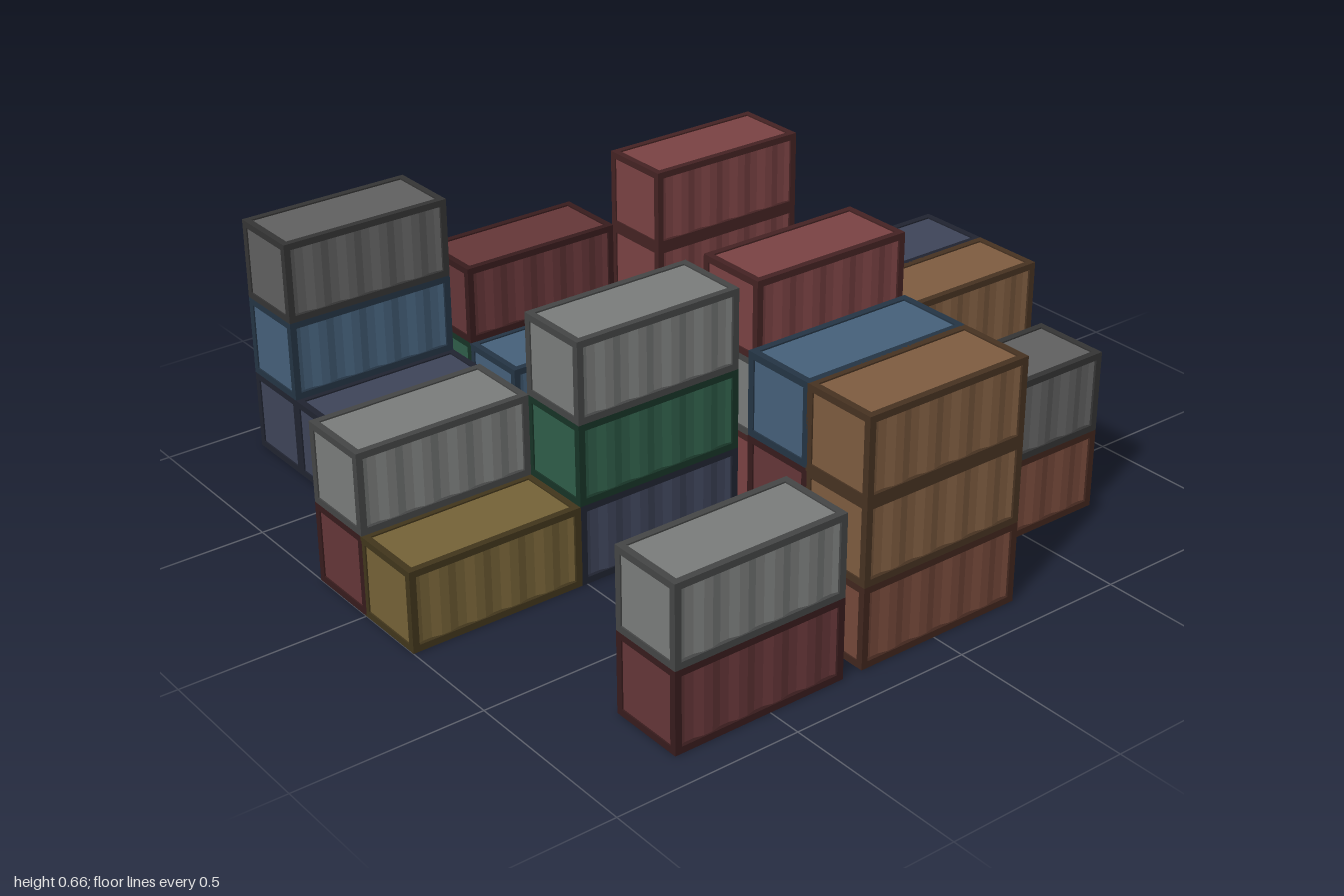
import * as THREE from 'three';

const W = 0.212, H = 0.22, L = 0.486; // container size
const BAR = 0.018;                    // frame bar thickness
const INSET = 0.004;                  // panels sit slightly behind the frame

const COLORS = {
  red: 0x7a4243, darkRed: 0x653638, blue: 0x45607a, navy: 0x3e4459, brown: 0x7e5c40,
  rust: 0x74483a, grey: 0x7a7c7b, darkGrey: 0x606060, green: 0x2f5e49, yellow: 0x756237,
};

// Stacks: [x, z, colours from the ground up]
const STACKS = [
  // left-hand block
  [-0.803, 0.527, ['navy', 'blue', 'darkGrey']],
  [-0.595, 0.527, ['navy']],
  [-0.803, -0.016, ['green', 'darkRed']],
  [-0.595, -0.016, ['blue']],
  [-0.595, -0.5, ['red', 'red', 'red']],
  // middle block
  [-0.105, 0.757, ['darkRed', 'grey']],
  [0.102, 0.757, ['yellow']],
  [-0.105, 0.272, ['red']],
  [0.102, 0.272, ['navy', 'green', 'grey']],
  [-0.105, -0.272, ['green', 'brown']],
  [0.102, -0.272, ['red', 'grey', 'red']],
  [-0.105, -0.757, ['brown', 'navy']],
  [0.102, -0.757, ['blue', 'brown']],
  // right-hand block
  [0.591, -0.016, ['darkGrey', 'darkRed', 'blue']],
  [0.799, -0.016, ['rust', 'brown', 'brown']],
  [0.591, -0.5, ['rust', 'darkGrey']],
  [0.799, 0.527, ['darkRed', 'grey']],
];

// Flat sheet pressed into trapezoid ribs running up and down
function ribbedSheet(width, height, segments, depth) {
  const geo = new THREE.PlaneGeometry(width, height, segments, 1);
  const pos = geo.attributes.position;
  for (let i = 0; i < pos.count; i++) {
    const column = i % (segments + 1);
    pos.setZ(i, column % 4 === 1 || column % 4 === 2 ? -depth : 0);
  }
  return geo;
}

const sideGeo = ribbedSheet(L - BAR, H - BAR, 19, 0.006);
const endGeo = new THREE.PlaneGeometry(W - BAR, H - BAR);
const roofGeo = new THREE.PlaneGeometry(W - BAR, L - BAR);
const rodGeo = new THREE.BoxGeometry(0.006, H - 2 * BAR, 0.006);
const railX = new THREE.BoxGeometry(W, BAR, BAR);
const railZ = new THREE.BoxGeometry(BAR, BAR, L - 2 * BAR);
const postGeo = new THREE.BoxGeometry(BAR, H - 2 * BAR, BAR);

// One panel and one frame material per colour
const materials = {};
for (const [name, color] of Object.entries(COLORS)) {
  const panel = new THREE.MeshStandardMaterial({ color, flatShading: true, side: THREE.DoubleSide });
  const frame = new THREE.MeshStandardMaterial({ color: new THREE.Color(color).multiplyScalar(0.3) });
  materials[name] = { panel, frame };
}

function createContainer({ panel, frame }) {
  const group = new THREE.Group();
  group.name = 'container';
  const add = (name, geo, mat, x, y, z) => {
    const mesh = new THREE.Mesh(geo, mat);
    mesh.name = name;
    mesh.position.set(x, y, z);
    group.add(mesh);
    return mesh;
  };
  const ex = (W - BAR) / 2, ez = (L - BAR) / 2;

  // Frame of corner posts and rails
  for (const y of [BAR / 2, H - BAR / 2]) {
    for (const s of [-1, 1]) {
      add('crossRail', railX, frame, 0, y, s * ez);
      add('sideRail', railZ, frame, s * ex, y, 0);
    }
  }
  for (const sx of [-1, 1])
    for (const sz of [-1, 1]) add('cornerPost', postGeo, frame, sx * ex, H / 2, sz * ez);

  // Ribbed sides, roof and ends; the underside stays open
  for (const s of [-1, 1]) {
    add('sideWall', sideGeo, panel, s * (W / 2 - INSET), H / 2, 0).rotation.y = s * Math.PI / 2;
  }
  add('roof', roofGeo, panel, 0, H - INSET, 0).rotation.x = -Math.PI / 2;
  add('frontWall', endGeo, panel, 0, H / 2, L / 2 - INSET);
  add('doors', endGeo, panel, 0, H / 2, -L / 2 + INSET).rotation.y = Math.PI;

  // Lock rods and the gap between the doors
  for (const x of [-0.062, -0.03, 0, 0.03, 0.062]) {
    add('doorRod', rodGeo, frame, x, H / 2, -L / 2 + INSET);
  }
  return group;
}

export function createModel() {
  const model = new THREE.Group();
  model.name = 'containerYard';
  for (const [x, z, colors] of STACKS) {
    const stack = new THREE.Group();
    stack.name = 'containerStack';
    stack.position.set(x, 0, z);
    colors.forEach((color, level) => {
      const container = createContainer(materials[color]);
      container.position.y = level * H;
      stack.add(container);
    });
    model.add(stack);
  }
  return model;
}
